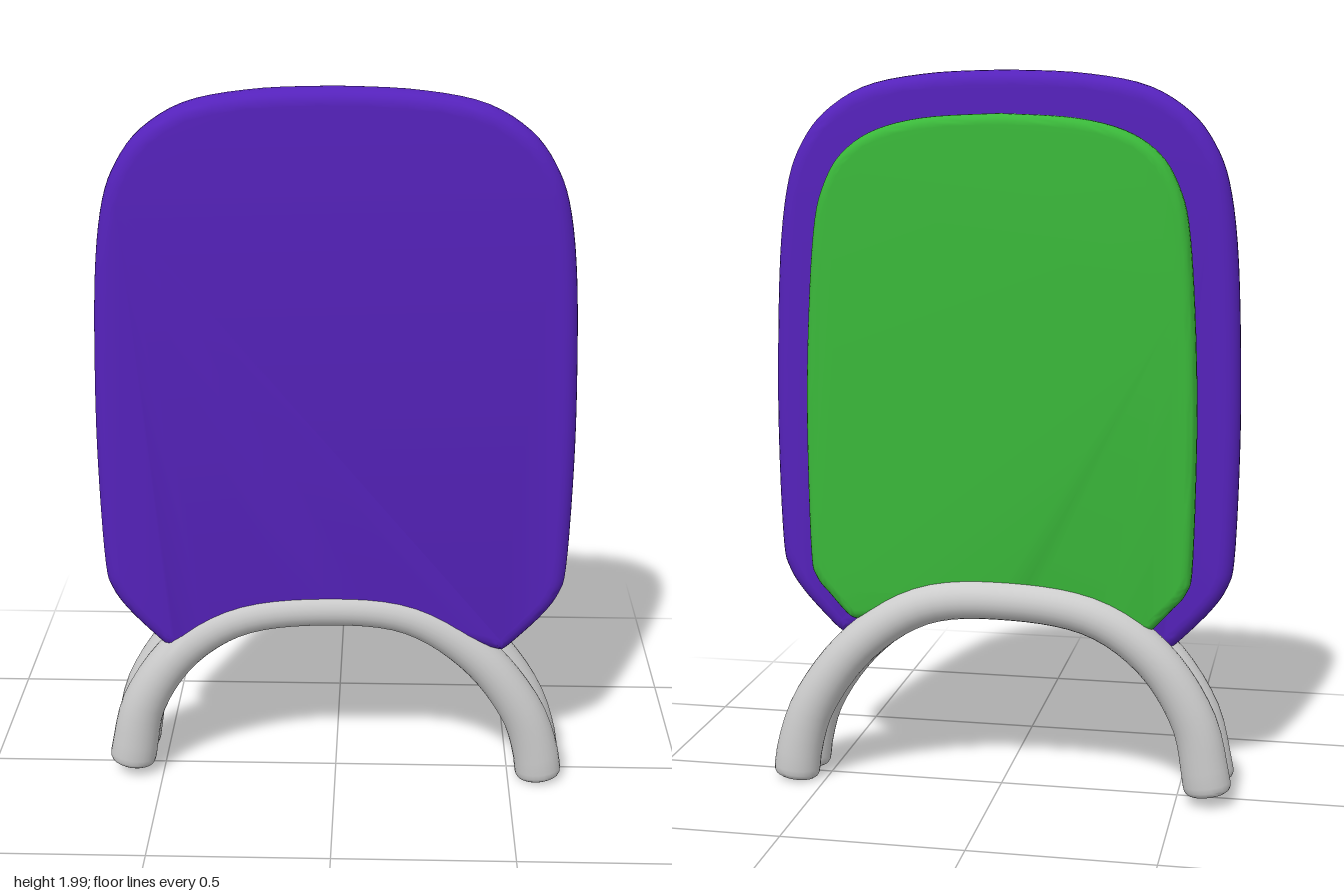
import * as THREE from 'three';
import { toCreasedNormals } from 'three/addons/utils/BufferGeometryUtils.js';

// Rounded board: half outline from top centre to lower corner, closed by an arched bottom edge
function board(half, arch, depth, bevel) {
  const right = new THREE.SplineCurve(half.map(([x, y]) => new THREE.Vector2(x, y))).getPoints(56);
  const bottom = new THREE.SplineCurve(
    [half[half.length - 1], ...arch].map(([x, y]) => new THREE.Vector2(x, y))).getPoints(16);
  const side = [...right, ...bottom.slice(1)];
  const mirrored = side.slice(1, -1).reverse().map((p) => new THREE.Vector2(-p.x, p.y));
  const geo = new THREE.ExtrudeGeometry(new THREE.Shape([...side, ...mirrored]), {
    depth: depth - 2 * bevel, bevelThickness: bevel, bevelSize: bevel,
    bevelOffset: -bevel, bevelSegments: 5, steps: 1,
  });
  geo.translate(0, 0, bevel);
  return toCreasedNormals(geo, 0.7);
}

// Bent tube with an oval section that widens towards its rounded ends
function archTube(points, halfDepth) {
  const curve = new THREE.CatmullRomCurve3(points.map(([x, y]) => new THREE.Vector3(x, y, 0)));
  const caps = [[0, 0], [0, 0.78], [0.003, 0.9], [0.008, 0.97], [0.016, 1]];
  const rings = [...caps];
  for (let i = 1; i < 40; i++) rings.push([0.016 + 0.968 * i / 40, 1]);
  for (const [t, s] of [...caps].reverse()) rings.push([1 - t, s]);
  const n = 24, pos = [], index = [];
  rings.forEach(([t, s], i) => {
    const c = curve.getPointAt(t), d = curve.getTangentAt(t);
    const w = s * (0.056 + 0.011 * (2 * t - 1) ** 2);
    for (let j = 0; j < n; j++) {
      const a = (j / n) * Math.PI * 2, u = w * Math.cos(a);
      pos.push(c.x - d.y * u, c.y + d.x * u, s * halfDepth * Math.sin(a));
      if (i === rings.length - 1) continue;
      const k = i * n + j, m = i * n + (j + 1) % n;
      if (i > 0) index.push(k, m, k + n);
      if (i < rings.length - 2) index.push(m, m + n, k + n);
      else index.push(m, m + n, k + n);
    }
  });
  const geo = new THREE.BufferGeometry();
  geo.setAttribute('position', new THREE.Float32BufferAttribute(pos, 3));
  geo.setIndex(index);
  return toCreasedNormals(geo, 0.7);
}

export function createModel() {
  const group = new THREE.Group();
  const material = (name, color) => {
    const m = new THREE.MeshStandardMaterial({ color });
    m.name = name;
    return m;
  };
  const purple = material('purple', 0x5522bb);
  const green = material('green', 0x3ab83a);
  const grey = material('light grey', 0xcccccc);
  const add = (name, geo, mat, y, z) => {
    const mesh = new THREE.Mesh(geo, mat);
    mesh.name = name;
    mesh.position.set(0, y, z);
    group.add(mesh);
  };

  // Large front board
  add('frontBoard', board([
    [0, 2], [0.2, 1.992], [0.38, 1.96], [0.5, 1.89], [0.57, 1.8], [0.61, 1.69], [0.635, 1.5],
    [0.648, 1.2], [0.65, 0.95], [0.642, 0.68], [0.625, 0.6], [0.58, 0.53], [0.5, 0.445], [0.47, 0.42],
  ], [[0.43, 0.43], [0.33, 0.46], [0.18, 0.485], [0, 0.51]], 0.097, 0.04), purple, 0, 0);

  // Smaller back board
  add('backBoard', board([
    [0, 1.885], [0.2, 1.874], [0.34, 1.84], [0.43, 1.78], [0.48, 1.7], [0.51, 1.59], [0.53, 1.35],
    [0.54, 1.05], [0.535, 0.68], [0.52, 0.6], [0.48, 0.55], [0.43, 0.495], [0.405, 0.483],
  ], [[0.37, 0.487], [0.28, 0.51], [0.14, 0.535], [0, 0.545]], 0.078, 0.028), green, 0, -0.076);

  // Pair of arched legs, side by side
  const path = [
    [-0.59, 0.04], [-0.58, 0.1], [-0.548, 0.235], [-0.44, 0.4], [-0.275, 0.51], [-0.03, 0.546],
    [0.21, 0.522], [0.4, 0.4], [0.535, 0.22], [0.58, 0.08], [0.588, 0.012],
  ];
  const tube = archTube(path, 0.057);
  add('frontArchLeg', tube, grey, 0, 0.056);
  const raised = path.map(([x, y]) => [x, y * 1.025]);
  add('backArchLeg', archTube(raised, 0.057), grey, 0, -0.058);

  return group;
}
